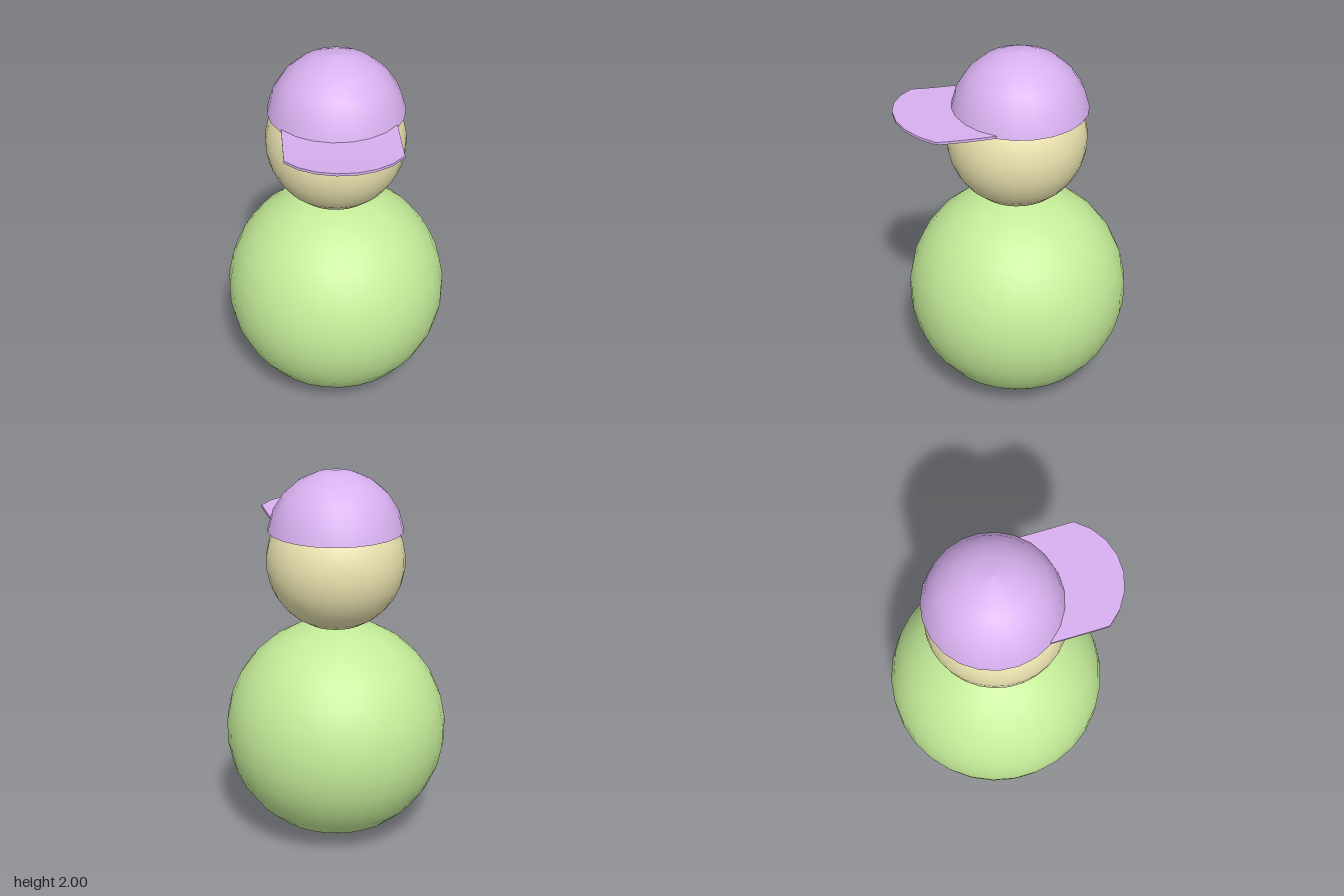
import * as THREE from 'three';

const SIDES = 23;
const STEP = (Math.PI * 2) / SIDES;

function addMesh(group, name, geometry, color) {
  const mesh = new THREE.Mesh(geometry, new THREE.MeshStandardMaterial({ color }));
  mesh.name = name;
  group.add(mesh);
  return mesh;
}

// Sphere with a column of vertices facing front and back
function ball(radius) {
  return new THREE.SphereGeometry(radius, 30, 15).rotateY(Math.PI / 2);
}

// Lathe with a flat side facing the front
function turned(points) {
  return new THREE.LatheGeometry(points, SIDES).rotateY(STEP / 2);
}

// Thin visor: straight sides, rounded front edge, bending up towards the tip
function visorGeometry() {
  const geometry = new THREE.BoxGeometry(7, 1, 1, 7, 1, 8);
  const pos = geometry.attributes.position;
  const back = 0.17, length = 0.44, thickness = 0.014;
  for (let i = 0; i < pos.count; i++) {
    const angle = pos.getX(i) * STEP;
    const front = 0.26 + 0.355 * Math.cos(angle);
    const z = THREE.MathUtils.lerp(back, front, pos.getZ(i) + 0.5);
    const bend = 0.025 * ((z - back) / length) ** 2;
    const y = 1.695 + bend + (pos.getY(i) + 0.5) * thickness;
    pos.setXYZ(i, 0.004 + 0.35 * Math.sin(angle), y, z);
  }
  geometry.computeVertexNormals();
  return geometry;
}

export function createModel() {
  const model = new THREE.Group();
  model.name = 'cappedFigure';
  const purple = 0xd8b0f0;

  // Body and head
  addMesh(model, 'body', ball(0.593), 0xc4ec98).position.set(0, 0.593, -0.02);
  addMesh(model, 'head', ball(0.362), 0xece4b0).position.set(0, 1.525, -0.017);

  // Cap: dome closed by a flat underside, plus the visor
  const cap = new THREE.Group();
  cap.name = 'cap';
  model.add(cap);
  const radius = 0.355, rimAngle = 1.43, rings = 5;
  const arc = [];
  for (let i = rings; i >= 0; i--) {
    const a = (rimAngle * i) / rings;
    arc.push(new THREE.Vector2(radius * Math.sin(a), radius * Math.cos(a)));
  }
  const rim = arc[0];
  addMesh(cap, 'capDome', turned(arc), purple).position.set(0.004, 1.645, -0.031);
  addMesh(cap, 'capUnderside', turned([new THREE.Vector2(0, rim.y), rim]), purple)
    .position.set(0.004, 1.645, -0.031);
  addMesh(cap, 'visor', visorGeometry(), purple);

  return model;
}
